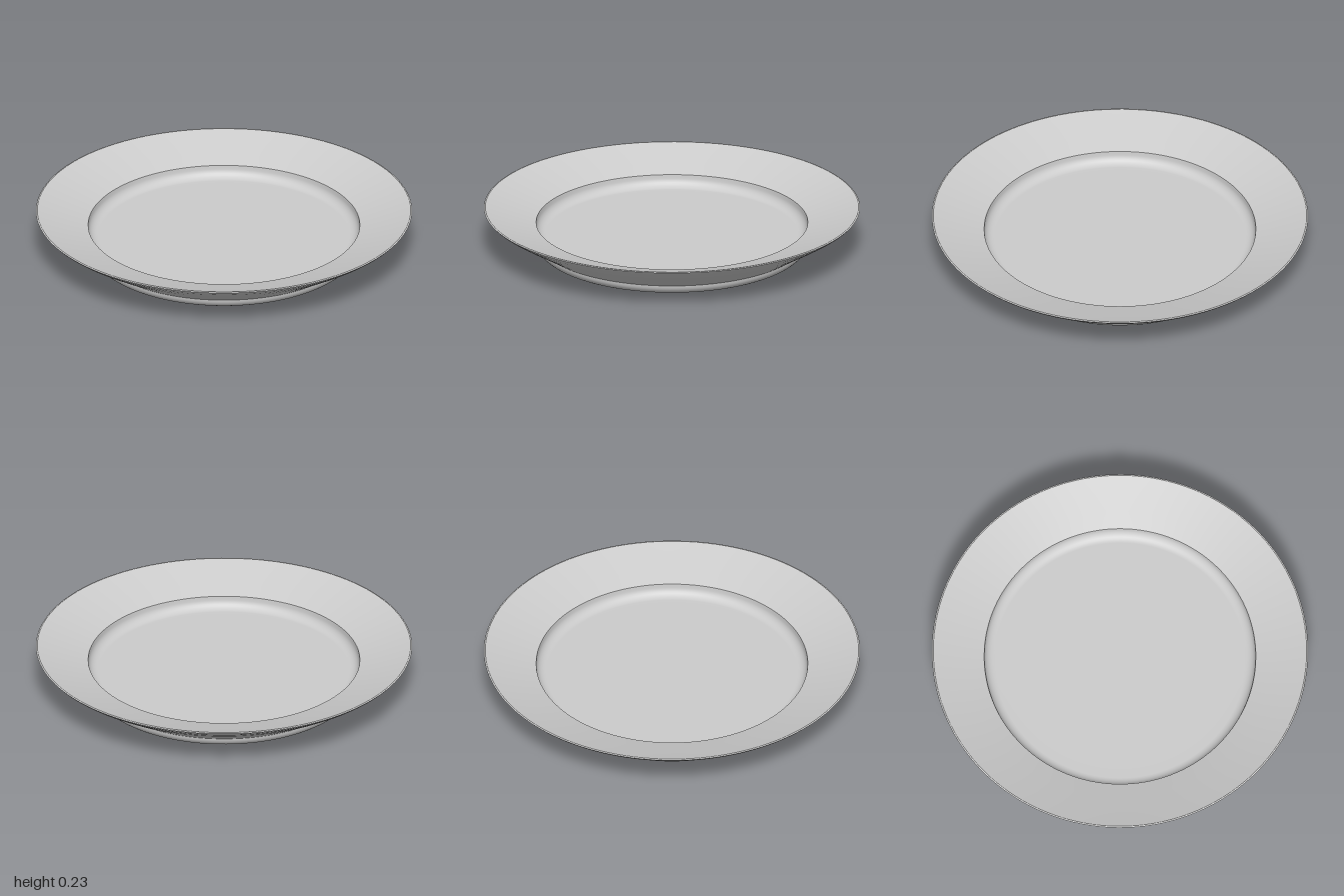
import * as THREE from 'three';

const material = new THREE.MeshStandardMaterial({ color: 0xcccccc });

// Revolve one smooth stretch of the section; stretches meet at sharp edges
function ring(name, points) {
  const profile = points.map(([r, y]) => new THREE.Vector2(r, y));
  const mesh = new THREE.Mesh(new THREE.LatheGeometry(profile, 128), material);
  mesh.name = name;
  return mesh;
}

// Points of a quarter ellipse around (cx, cy), from angle a to b in degrees
function arc(cx, cy, rx, ry, a, b, steps = 8) {
  return Array.from({ length: steps + 1 }, (_, i) => {
    const t = THREE.MathUtils.degToRad(a + ((b - a) * i) / steps);
    return [cx + rx * Math.cos(t), cy + ry * Math.sin(t)];
  });
}

export function createModel() {
  const plate = new THREE.Group();
  plate.name = 'plate';

  plate.add(
    // Flat base with a rounded lower edge
    ring('base', [[0, 0], [0.6, 0], ...arc(0.67, 0.055, 0.057, 0.055, -90, 0)]),
    // Sloping underside, turning up softly into the lip
    ring('rimUnderside', [[0.727, 0.055], [0.82, 0.112], [0.91, 0.166], [0.97, 0.204], [0.99, 0.219], [1, 0.23]]),
    // Thin outer lip
    ring('lip', [[1, 0.23], [0.998, 0.233], [0.992, 0.233]]),
    // Shallower upper face of the rim
    ring('rimTop', [[0.992, 0.233], [0.9, 0.203], [0.81, 0.175], [0.722, 0.147]]),
    // Sunken well with a rounded wall
    ring('well', [[0.722, 0.147], ...arc(0.665, 0.135, 0.055, 0.052, 0, -90), [0.6, 0.083], [0, 0.083]])
  );
  return plate;
}
